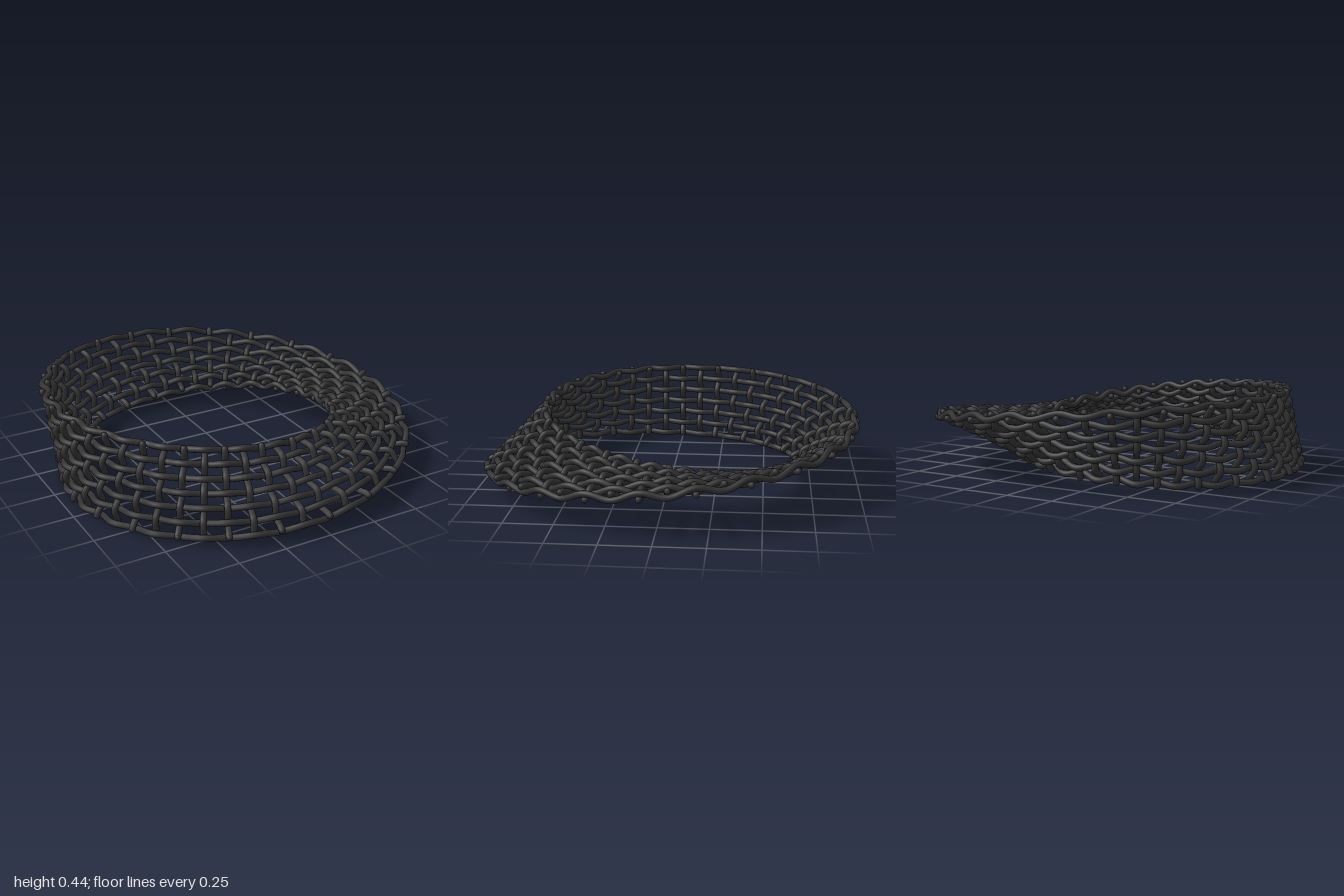
import * as THREE from 'three';

const RADIUS = 0.825;          // ring centre line
const CENTRE = new THREE.Vector3(-0.095, 0.222, 0);
const STRANDS = 7, RIBS = 49;  // both odd, so the weave meets itself after the half twist
const HALF = 0.205;            // half distance between the two edge strands
const PITCH = (2 * HALF) / (STRANDS - 1);
const WEAVE = 0.016, TUBE = 0.0165;

// Point on the half-twisted band: phi around, s across, h off the surface
function bandPoint(phi, s, h, target) {
  const c = Math.cos(phi / 2), d = Math.sin(phi / 2);
  const r = RADIUS + s * c - h * d;
  return target.set(r * Math.cos(phi), s * d + h * c, -r * Math.sin(phi)).add(CENTRE);
}

class BandCurve extends THREE.Curve {
  constructor(fn, divisions) {
    super();
    this.fn = fn;              // t -> [phi, s, h]
    this.arcLengthDivisions = divisions;
  }
  getPoint(t, target = new THREE.Vector3()) {
    return bandPoint(...this.fn(t), target);
  }
}

export function createModel() {
  const group = new THREE.Group();
  group.name = 'wovenTwistedBand';
  const material = new THREE.MeshStandardMaterial({ color: 0x333333 });

  // Long strands: each runs twice round before it closes, the middle one once
  const middle = (STRANDS - 1) / 2;
  for (let i = 0; i <= middle; i++) {
    const turns = i === middle ? 1 : 2;
    const s = -HALF + i * PITCH, sign = i % 2 ? 1 : -1;
    const curve = new BandCurve((t) => {
      const phi = t * turns * Math.PI * 2;
      return [phi, s, sign * WEAVE * Math.sin(phi * RIBS / 2)];
    }, 1000 * turns);
    const strand = new THREE.Mesh(new THREE.TubeGeometry(curve, 490 * turns, TUBE, 10, true), material);
    strand.name = i === middle ? 'middleStrand' : 'longStrand' + (i + 1);
    group.add(strand);
  }

  // Cross ribs: weave opposite to the strands, with rounded ends
  const capGeometry = new THREE.SphereGeometry(TUBE, 10, 8);
  for (let j = 0; j < RIBS; j++) {
    const phi = (j + 0.5) * Math.PI * 2 / RIBS, sign = j % 2 ? -1 : 1;
    const curve = new BandCurve((t) => {
      const s = (t * 2 - 1) * HALF;
      return [phi, s, sign * WEAVE * Math.cos(Math.PI * (s + HALF) / PITCH)];
    }, 120);
    const rib = new THREE.Group();
    rib.name = 'crossRib' + (j + 1);
    const bar = new THREE.Mesh(new THREE.TubeGeometry(curve, 48, TUBE, 10, false), material);
    bar.name = 'ribBar';
    rib.add(bar);
    for (const t of [0, 1]) {
      const cap = new THREE.Mesh(capGeometry, material);
      cap.name = 'ribEnd';
      cap.position.copy(curve.getPoint(t));
      rib.add(cap);
    }
    group.add(rib);
  }
  return group;
}
